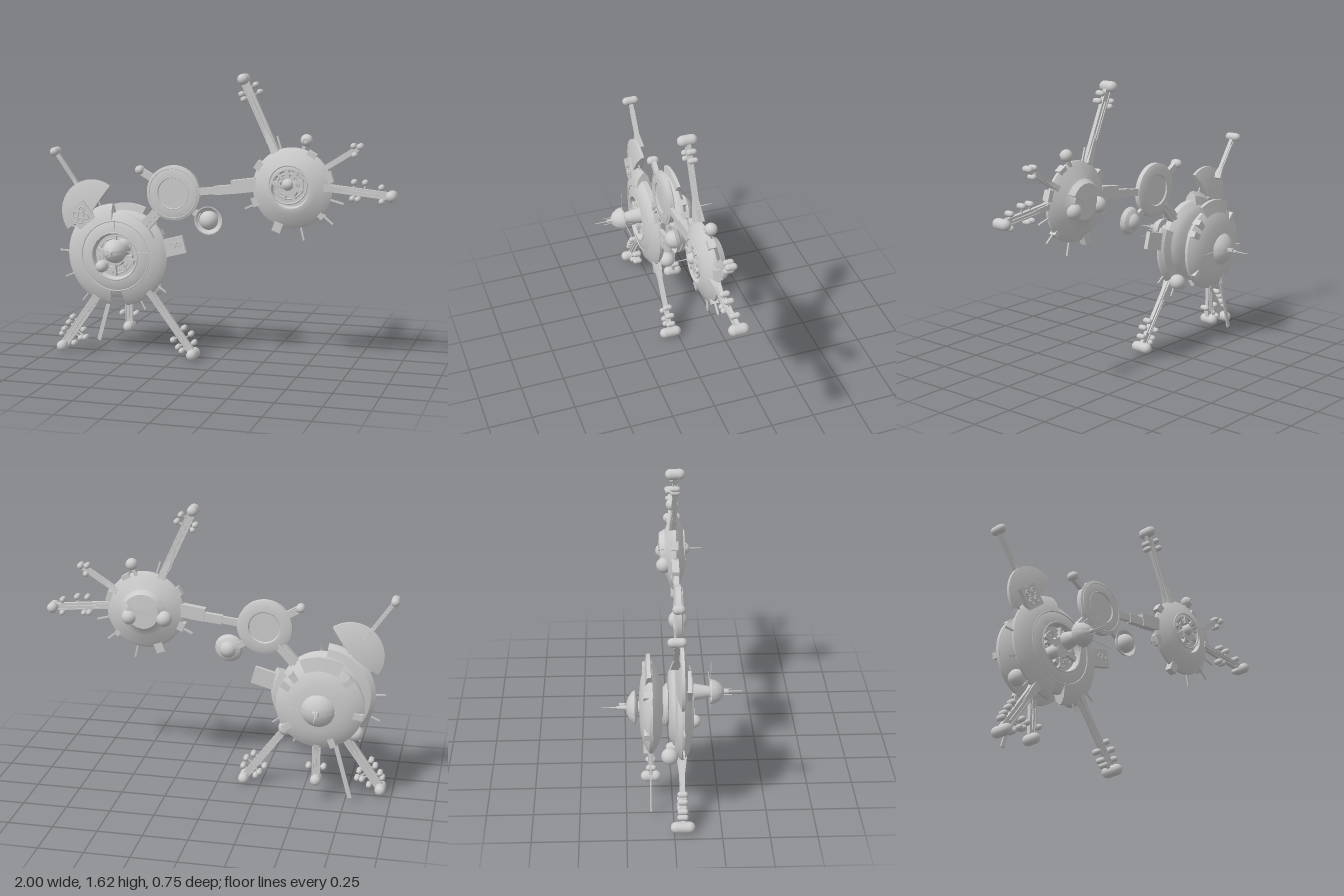
import * as THREE from 'three';
import { toCreasedNormals } from 'three/addons/utils/BufferGeometryUtils.js';

const grey = new THREE.MeshStandardMaterial({ color: 0xcccccc, side: THREE.DoubleSide });
const rad = THREE.MathUtils.degToRad;

function add(parent, name, geometry, x = 0, y = 0, z = 0, turn = 0) {
  const mesh = new THREE.Mesh(geometry, grey);
  mesh.name = name;
  mesh.position.set(x, y, z);
  mesh.rotation.z = rad(turn);
  parent.add(mesh);
  return mesh;
}

function group(parent, name, x = 0, y = 0, z = 0, turn = 0) {
  const g = new THREE.Group();
  g.name = name;
  g.position.set(x, y, z);
  g.rotation.z = rad(turn);
  parent.add(g);
  return g;
}

// Turned body around the z axis; profile points are [radius, z], z rising
function turned(profile, from = 0, to = 360, segments = 64) {
  const pts = profile.map(p => new THREE.Vector2(...p));
  const geo = new THREE.LatheGeometry(pts, segments, rad(from + 90), rad(to - from));
  return toCreasedNormals(geo.rotateX(Math.PI / 2), 0.5);
}

// Part of a rim with closed ends
function rimSector(parent, name, profile, from, to) {
  const g = group(parent, name);
  add(g, name + 'Shell', turned([...profile, profile[0]], from, to, 32));
  const shape = new THREE.Shape(profile.map(p => new THREE.Vector2(...p)));
  for (const a of [from, to])
    add(g, name + 'End', new THREE.ShapeGeometry(shape).rotateX(Math.PI / 2), 0, 0, 0, a);
}

const box = (w, h, d) => new THREE.BoxGeometry(w, h, d);
const ball = r => new THREE.SphereGeometry(r, 24, 16);
const capsule = (r, length) => new THREE.CapsuleGeometry(r, length, 8, 20).rotateX(Math.PI / 2);
const ring = (r, tube) => new THREE.TorusGeometry(r, tube, 8, 48);
const rod = (r0, r1, z0, z1) =>
  new THREE.CylinderGeometry(r1, r0, z1 - z0, 16).rotateX(Math.PI / 2).translate(0, 0, (z0 + z1) / 2);

// Bar from a to b in the front plane
function bar(parent, name, a, b, width, depth, z) {
  const dx = b[0] - a[0], dy = b[1] - a[1];
  return add(parent, name, box(Math.hypot(dx, dy), width, depth),
    (a[0] + b[0]) / 2, (a[1] + b[1]) / 2, z, THREE.MathUtils.radToDeg(Math.atan2(dy, dx)));
}

// Boom: railed beam with an end tank and clusters of side tanks [distance from end, side]
function boom(parent, name, a, b, z, { width = 0.04, tank = 0.03, tankLength = 0.07, pods = [] } = {}) {
  const dx = b[0] - a[0], dy = b[1] - a[1], len = Math.hypot(dx, dy);
  const g = group(parent, name, a[0], a[1], z, THREE.MathUtils.radToDeg(Math.atan2(dy, dx)));
  add(g, 'beam', box(len, width * 0.75, 0.012), len / 2);
  for (const s of [-1, 1]) add(g, 'rail', box(len, width * 0.18, 0.022), len / 2, s * width * 0.42);
  add(g, 'spine', box(len * 0.8, width * 0.2, 0.03), len * 0.4);
  const root = new THREE.CylinderGeometry(0.012, 0.04, len * 0.4, 4, 1).rotateY(Math.PI / 4)
    .rotateZ(-Math.PI / 2).scale(1, width / 0.057, 1).toNonIndexed();
  root.computeVertexNormals();
  add(g, 'root', root, len * 0.2);
  add(g, 'endTank', capsule(tank, tankLength), len);
  for (const [d, side] of pods) {
    add(g, 'podStem', box(0.008, Math.abs(side), 0.008), len - d, side / 2);
    add(g, 'pod', capsule(0.016, 0.025), len - d, side);
  }
}

const tripod = [[0.05, 0.045], [0.08, -0.05], [0.1, 0.06], [0.13, -0.05], [0.15, 0.045], [0.05, -0.045]];

function mainStation(root) {
  const g = group(root, 'mainStation', -0.595, 0.585, 0);
  add(g, 'mainHull', turned([[0, -0.02], [0.17, -0.02], [0.21, 0.0], [0.24, 0.03], [0.245, 0.06], [0.21, 0.09],
    [0.14, 0.105], [0.13, 0.105], [0.122, 0.075], [0.06, 0.075], [0.055, 0.1], [0, 0.1]]));
  const rim = [[0.2, 0.005], [0.27, 0.02], [0.295, 0.042], [0.295, 0.055], [0.26, 0.082], [0.2, 0.096]];
  rimSector(g, 'leftRim', rim, 95, 262);
  rimSector(g, 'rightRim', rim, -80, 26);
  for (const [r, z] of [[0.2, 0.094], [0.135, 0.105], [0.1, 0.08], [0.08, 0.08]]) add(g, 'deckRing', ring(r, 0.004), 0, 0, z);
  for (let i = 0; i < 12; i++) {
    const a = i * 30 + (i % 3) * 7, spoke = group(g, 'deckSpoke', 0, 0, 0.085, a);
    add(spoke, 'deckBlock', box(i % 2 ? 0.06 : 0.035, 0.015 + (i % 3) * 0.006, 0.03), 0.085);
  }
  for (const a of [178, 150, 204, -62, -35, 110, 232]) {
    const s = group(g, 'rimSpike', 0, 0, 0.05, a);
    add(s, 'spike', box(0.07, 0.008, 0.008), 0.315);
  }
  // Front tower with domed observation deck
  const tower = group(g, 'tower', 0.04, 0.05, 0);
  add(tower, 'towerCone', rod(0.052, 0.028, 0.08, 0.21));
  add(tower, 'dome', turned([[0, 0.2], [0.065, 0.2], [0.067, 0.208], [0.06, 0.232], [0.045, 0.255], [0.025, 0.27], [0.012, 0.275], [0.012, 0.3], [0, 0.3]]));
  add(tower, 'domeSpike', rod(0.004, 0.002, 0.3, 0.375));
  add(tower, 'crossAntenna', box(0.32, 0.003, 0.003), 0.06, 0, 0.205);
  add(tower, 'tallAntenna', box(0.003, 0.28, 0.003), 0, 0.035, 0.205);
  for (const [x, y] of [[0.015, 0.01], [-0.015, 0.012], [0, -0.02]]) add(tower, 'needle', rod(0.002, 0.002, 0.25, 0.32), x, y);
  add(g, 'frontTank', capsule(0.034, 0.02), -0.075, -0.06, 0.105);
  add(g, 'tankBracket', box(0.08, 0.02, 0.03), -0.045, -0.035, 0.1, 40);
  for (const s of [-1, 1]) add(g, 'rearTank', ball(0.045), s * 0.195, -0.2, -0.02);

  // Rear decks along the main axis
  add(g, 'neckDisc', turned([[0, -0.05], [0.09, -0.05], [0.112, -0.035], [0.112, -0.025], [0.09, -0.01], [0, -0.01]]));
  const rear = group(g, 'rearDecks', -0.005, -0.012, 0);
  add(rear, 'rearHull', turned([[0, -0.175], [0.07, -0.175], [0.14, -0.168], [0.19, -0.155], [0.225, -0.138], [0.245, -0.125], [0.245, -0.108],
    [0.22, -0.09], [0.18, -0.07], [0.13, -0.055], [0, -0.05]]));
  add(rear, 'rearNeck', rod(0.03, 0.035, -0.21, -0.16));
  add(rear, 'rearDome', turned([[0, -0.245], [0.025, -0.243], [0.055, -0.232], [0.08, -0.215], [0.092, -0.2], [0.085, -0.193], [0.04, -0.182], [0, -0.18]]));
  add(rear, 'rearMast', rod(0.009, 0.014, -0.295, -0.24));
  add(rear, 'rearSpike', rod(0.002, 0.004, -0.375, -0.29));
  add(rear, 'rearSensor', box(0.02, 0.012, 0.035), 0.012, 0.01, -0.265);
  add(rear, 'rearAntenna', box(0.28, 0.003, 0.003), 0.04, 0, -0.2);
  rimSector(rear, 'rearFin', [[0.18, -0.15], [0.285, -0.135], [0.285, -0.115], [0.18, -0.1]], 66, 118);
  for (const a of [30, 48, 135, 190, 250, 325]) {
    const s = group(rear, 'rearRib', 0, 0, -0.13, a);
    add(s, 'ribBlock', box(0.09, 0.035, 0.05), 0.2);
  }

  // Side hatch panel
  const panel = group(g, 'sidePanel', 0.335, 0.065, 0.045, 15);
  add(panel, 'panelPlate', box(0.13, 0.1, 0.025));
  for (const s of [-1, 1]) add(panel, 'port', ring(0.013, 0.003), 0.015 + s * 0.016, 0.008, 0.014);
}

function mainBooms(root) {
  boom(root, 'leftLowerBoom', [-0.42, 0.4], [-0.15, 0.035], 0.045, { pods: tripod });
  boom(root, 'rightLowerBoom', [-0.72, 0.34], [-0.935, 0.035], 0.045, { width: 0.05, pods: [...tripod, [0.17, -0.05], [0.12, 0.08]] });
  boom(root, 'rearLowerBoom', [-0.587, 0.38], [-0.587, 0.132], -0.115, { width: 0.045, tankLength: 0.05, pods: [[0.078, 0.042], [0.078, -0.042]] });
  bar(root, 'longMast', [-0.69, 0.36], [-0.78, 0.035], 0.024, 0.008, -0.12);
  // Fan wing with its port plate and boom
  const fan = group(root, 'fanWing', -0.745, 0.825, 0.045);
  rimSector(fan, 'fan', [[0.01, -0.03], [0.12, -0.025], [0.185, -0.008], [0.185, 0.008], [0.12, 0.025], [0.01, 0.03]], 55, 215);
  const plate = group(root, 'portPlate', -0.8, 0.81, 0.075, 38);
  add(plate, 'plate', box(0.12, 0.12, 0.03));
  for (const x of [-1, 1]) for (const y of [-1, 1]) {
    add(plate, 'port', ring(0.016, 0.004), x * 0.022, y * 0.022, 0.016);
    add(plate, 'portCap', rod(0.008, 0.008, 0, 0.02), x * 0.022, y * 0.022);
  }
  boom(root, 'fanBoom', [-0.82, 0.93], [-0.98, 1.16], 0.01, { width: 0.02, tank: 0.024, tankLength: 0.05 });
}

function linkStation(root) {
  // Round relay platform between the stations
  const g = group(root, 'relayPlatform', -0.26, 0.953, 0.04);
  add(g, 'relayDisc', turned([[0, -0.012], [0.085, -0.012], [0.09, -0.02], [0.13, -0.02], [0.155, -0.01], [0.155, 0.018],
    [0.135, 0.026], [0.092, 0.026], [0.086, 0.018], [0, 0.018]]));
  for (const r of [0.09, 0.14]) add(g, 'relayRing', ring(r, 0.003), 0, 0, 0.025);
  bar(g, 'nubArm', [-0.12, 0.075], [-0.2, 0.12], 0.04, 0.025, 0);
  add(g, 'nub', capsule(0.025, 0.02), -0.2, 0.122);
  // Dish with its ball
  const dish = group(root, 'dish', -0.055, 0.808, 0.045);
  add(dish, 'bowl', turned([[0, -0.03], [0.04, -0.025], [0.068, -0.008], [0.08, 0.015], [0.074, 0.015], [0.06, 0.0], [0.035, -0.015], [0, -0.02]]));
  add(dish, 'dishBall', ball(0.053), 0, 0, 0.005);
  bar(root, 'dishArm', [-0.17, 0.87], [-0.11, 0.83], 0.035, 0.02, 0.04);
  // Connecting gangways
  bar(root, 'mainGangway', [-0.5, 0.68], [-0.34, 0.86], 0.06, 0.03, 0.04);
  bar(root, 'mainGangwayRidge', [-0.5, 0.68], [-0.34, 0.86], 0.02, 0.045, 0.04);
  bar(root, 'farGangway', [-0.12, 0.965], [0.25, 1.01], 0.04, 0.022, 0.045);
  bar(root, 'farGangwayCollar', [-0.02, 0.977], [0.1, 0.99], 0.05, 0.03, 0.045);
  bar(root, 'farGangwayRoot', [0.08, 1.0], [0.22, 1.02], 0.075, 0.04, 0.045);
}

function farStation(root) {
  const g = group(root, 'farStation', 0.42, 1.008, 0);
  add(g, 'farHull', turned([[0, -0.035], [0.09, -0.035], [0.105, -0.02], [0.14, 0.0], [0.2, 0.022], [0.222, 0.038], [0.222, 0.052],
    [0.19, 0.075], [0.14, 0.095], [0.115, 0.105], [0.105, 0.105], [0.098, 0.08], [0.045, 0.08], [0.04, 0.11], [0, 0.11]]));
  const deck = group(g, 'farDeck', -0.012, 0.025, 0.09);
  for (const [r, z] of [[0.105, 0.012], [0.08, 0.0], [0.06, 0.01]]) add(deck, 'deckRing', ring(r, 0.005), 0, 0, z);
  for (let i = 0; i < 9; i++) {
    const s = group(deck, 'deckSpoke', 0, 0, 0, i * 40 + 15);
    add(s, 'deckBlock', box(0.045, 0.012 + (i % 3) * 0.006, 0.04), 0.065);
  }
  add(deck, 'deckBall', ball(0.032), 0, 0, 0.015);
  add(deck, 'deckSpike', rod(0.003, 0.002, 0.03, 0.115));
  for (const s of [-1, 1]) add(g, 'rearTank', ball(0.045), s * 0.1 - 0.02, -0.03, -0.015);
  rimSector(g, 'rearShield', [[0.03, -0.045], [0.11, -0.04], [0.13, -0.01], [0.03, -0.01]], 30, 150);
  // Rim blocks [angle, length, width] and spikes
  for (const [a, l, w] of [[148, 0.06, 0.05], [202, 0.06, 0.05], [250, 0.1, 0.05], [18, 0.05, 0.06], [60, 0.04, 0.05], [318, 0.05, 0.03]]) {
    const s = group(g, 'rimBlock', 0, 0, 0.045, a);
    add(s, 'block', box(l, w, 0.04), 0.21);
  }
  for (const a of [107, 120, 205, 283, 320, 345]) {
    const s = group(g, 'rimSpike', 0, 0, 0.045, a);
    add(s, 'spike', box(0.1, 0.01, 0.01), 0.245);
  }
  boom(root, 'upperBoom', [0.325, 1.2], [0.143, 1.595], 0.042, { width: 0.045, tankLength: 0.05, pods: [[0.07, 0.045], [0.1, 0.045], [0.055, -0.05], [0.1, -0.055]] });
  boom(root, 'shortBoom', [0.58, 1.11], [0.79, 1.245], 0.035, { width: 0.03, tank: 0.018, tankLength: 0.03, pods: [[0.03, 0.022], [0.05, -0.022]] });
  boom(root, 'sideBoom', [0.6, 1.02], [0.967, 0.985], 0.055, { width: 0.04, tankLength: 0.05, pods: [[0.05, -0.035], [0.15, 0.055], [0.21, 0.05], [0.18, -0.04], [0.21, -0.04], [0.06, 0.04]] });
  // Ringed pod on a short stem
  bar(root, 'podStem', [0.46, 1.19], [0.49, 1.25], 0.02, 0.02, 0.035);
  add(root, 'ringedPod', ball(0.034), 0.495, 1.27, 0.035);
  add(root, 'podRing', ring(0.012, 0.004), 0.495, 1.27, 0.067);
}

export function createModel() {
  const root = new THREE.Group();
  root.name = 'spaceStation';
  mainStation(root);
  mainBooms(root);
  linkStation(root);
  farStation(root);
  return root;
}
